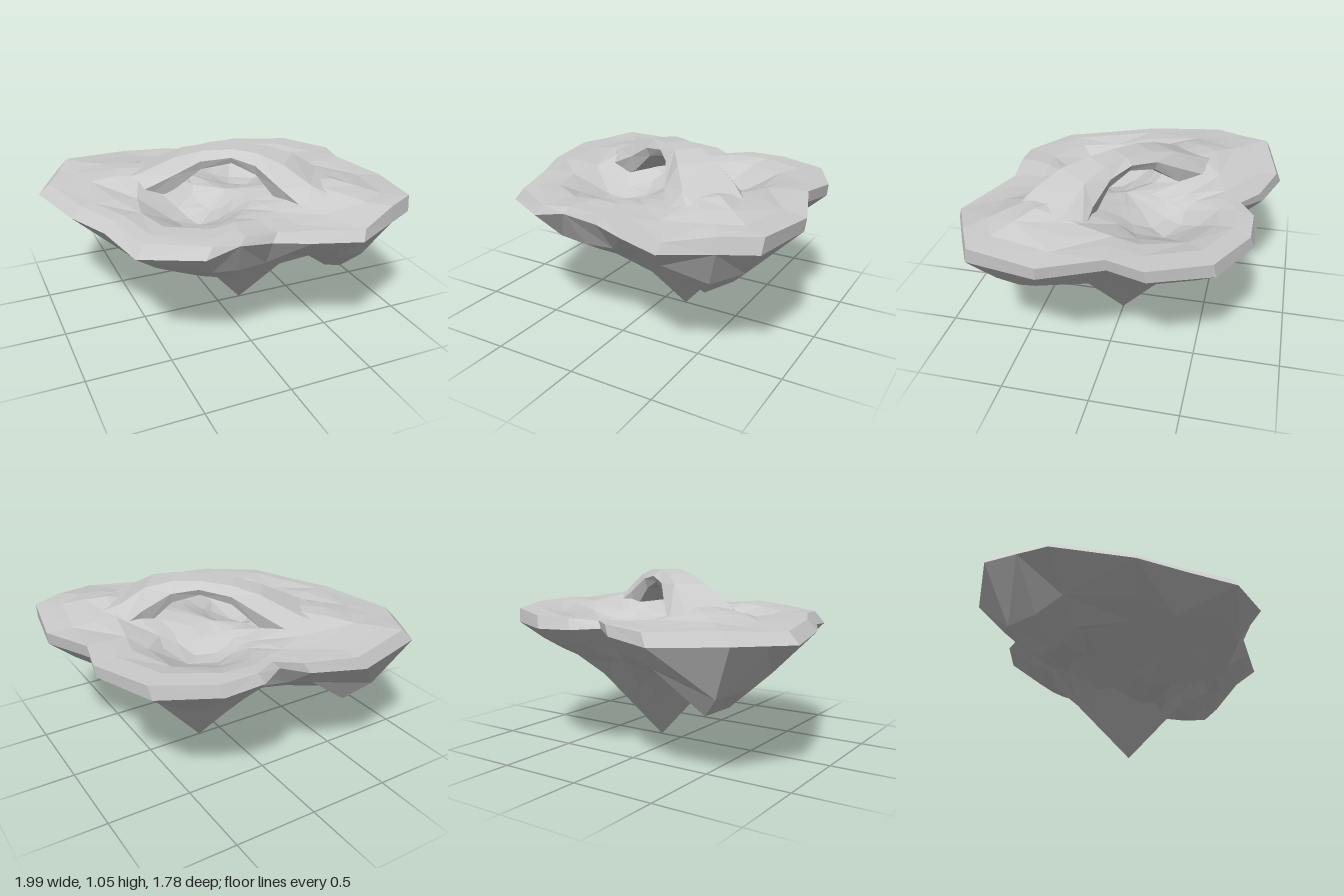
import * as THREE from 'three';

const material = new THREE.MeshStandardMaterial({ color: 0xcccccc, flatShading: true });
const { lerp } = THREE.MathUtils;

// Skin a list of closed point rings; every ring has the same number of points
function loft(name, rings) {
  const n = rings[0].length, index = [];
  for (let i = 0; i < rings.length - 1; i++) {
    for (let j = 0; j < n; j++) {
      const k = (j + 1) % n;
      const a = i * n + j, b = i * n + k, c = a + n, d = b + n;
      if ((i + j) % 2) index.push(a, c, d, a, d, b);
      else index.push(a, c, b, b, c, d);
    }
  }
  const geo = new THREE.BufferGeometry();
  geo.setAttribute('position', new THREE.Float32BufferAttribute(rings.flat(2), 3));
  geo.setIndex(index);
  const flat = geo.toNonIndexed();
  flat.computeVertexNormals();
  const mesh = new THREE.Mesh(flat, material);
  mesh.name = name;
  return mesh;
}

// Island outline: x, z, height of the lower lip, height of the upper edge
const outline = [
  [-1, -0.45, 0.74, 0.8], [-0.91, -0.62, 0.75, 0.81], [-0.81, -0.8, 0.76, 0.83],
  [-0.39, -0.89, 0.73, 0.8], [-0.08, -0.8, 0.75, 0.81], [0.05, -0.7, 0.77, 0.81],
  [0.2, -0.785, 0.76, 0.82], [0.44, -0.785, 0.75, 0.82], [0.76, -0.62, 0.75, 0.83],
  [0.915, -0.29, 0.77, 0.84], [0.865, -0.08, 0.78, 0.85], [0.98, 0.26, 0.75, 0.82],
  [0.91, 0.66, 0.75, 0.84], [0.72, 0.76, 0.75, 0.84], [0.46, 0.89, 0.74, 0.8],
  [0.2, 0.8, 0.74, 0.8], [0, 0.73, 0.75, 0.8], [-0.2, 0.75, 0.78, 0.82],
  [-0.39, 0.76, 0.74, 0.8], [-0.7, 0.57, 0.72, 0.79], [-0.78, 0.27, 0.75, 0.81],
  [-0.9, 0, 0.75, 0.81],
];

const tip = [0.15, 0], middle = [0.05, 0];
// Spurs: x, z, height of the point, steepness
const spurs = [
  [-0.53, -0.57, 0.34, 1.2], [-0.6, -0.44, 0.37, 1.2],
  [0.53, 0.46, 0.39, 0.9], [-0.13, 0.1, 0.29, 0.6],
];
// Relief of the ground, two hollows and a mound at each arch foot: x, z, radius, rise
const relief = [
  [0.3, -0.27, 0.42, -0.14], [-0.23, 0.15, 0.42, -0.15],
  [0.5, 0.34, 0.42, 0.08], [-0.42, -0.32, 0.4, 0.06],
];

// Underside: a central spike under a sloping shelf, with smaller spurs
function underside(x, z, t, lip) {
  const r = Math.hypot(x - tip[0], z - tip[1]);
  let y = Math.min(1.12 * r, lerp(0.43, lip, t ** 2.2));
  for (const [sx, sz, sy, slope] of spurs) {
    y = Math.min(y, sy + slope * Math.max(0, Math.hypot(x - sx, z - sz) - 0.06));
  }
  return t === 1 ? lip : y;
}

// Top: gently uneven ground
function ground(x, z, t, edge) {
  let y = lerp(0.8 + 0.05 * Math.abs(x), edge, t * t);
  y += 0.01 * Math.sin(9 * x + 4 * z) * (1 - t);
  for (const [cx, cz, radius, rise] of relief) {
    const s = Math.max(0, 1 - Math.hypot(x - cx, z - cz) / radius);
    y += rise * s * s * (3 - 2 * s);
  }
  return y;
}

function ring(centre, t, height) {
  return outline.map(([ox, oz, lip, edge]) => {
    const x = lerp(centre[0], ox, t), z = lerp(centre[1], oz, t);
    return [x, height(x, z, t, lip, edge), z];
  });
}

function island() {
  const rings = [];
  for (const t of [0, 0.25, 0.42, 0.61, 0.71, 0.84, 1]) {
    rings.push(ring(tip, t, (x, z, s, lip) => underside(x, z, s, lip)));
  }
  // The upper edge leans a little towards +x
  const top = (x, z, s, lip, edge) => ground(x, z, s, edge);
  rings.push(ring([1.2, 0], 0.97, top));
  for (const t of [0.85, 0.72, 0.59, 0.46, 0.33, 0.18, 0]) rings.push(ring(middle, t, top));
  return loft('island', rings);
}

// Arch stations: x, z, half width, top height, bottom height
const stations = [
  [-0.56, -0.44, 0.2, 0.8, 0.7], [-0.38, -0.3, 0.23, 0.88, 0.68],
  [-0.18, -0.18, 0.16, 0.99, 0.8], [-0.05, -0.08, 0.12, 1.035, 0.93],
  [0.1, 0.03, 0.11, 1.055, 0.98], [0.22, 0.13, 0.13, 1.05, 0.93],
  [0.34, 0.24, 0.19, 1.01, 0.78], [0.46, 0.33, 0.26, 0.92, 0.68],
  [0.68, 0.48, 0.22, 0.8, 0.7],
];
const section = [[-0.85, 0], [-1, 0.5], [-0.6, 1], [0.6, 1], [1, 0.5], [0.85, 0]];

function arch() {
  const rings = stations.map(([x, z, half, top, bottom], i) => {
    const p = stations[Math.max(0, i - 1)];
    const q = stations[Math.min(stations.length - 1, i + 1)];
    const length = Math.hypot(q[0] - p[0], q[1] - p[1]);
    const nx = (q[1] - p[1]) / length, nz = -(q[0] - p[0]) / length;
    return section.map(([u, v]) => [
      x + nx * u * half, lerp(bottom, top, v), z + nz * u * half,
    ]);
  });
  return loft('arch', rings);
}

export function createModel() {
  const model = new THREE.Group();
  model.name = 'floatingIsland';
  model.add(island(), arch());
  return model;
}
